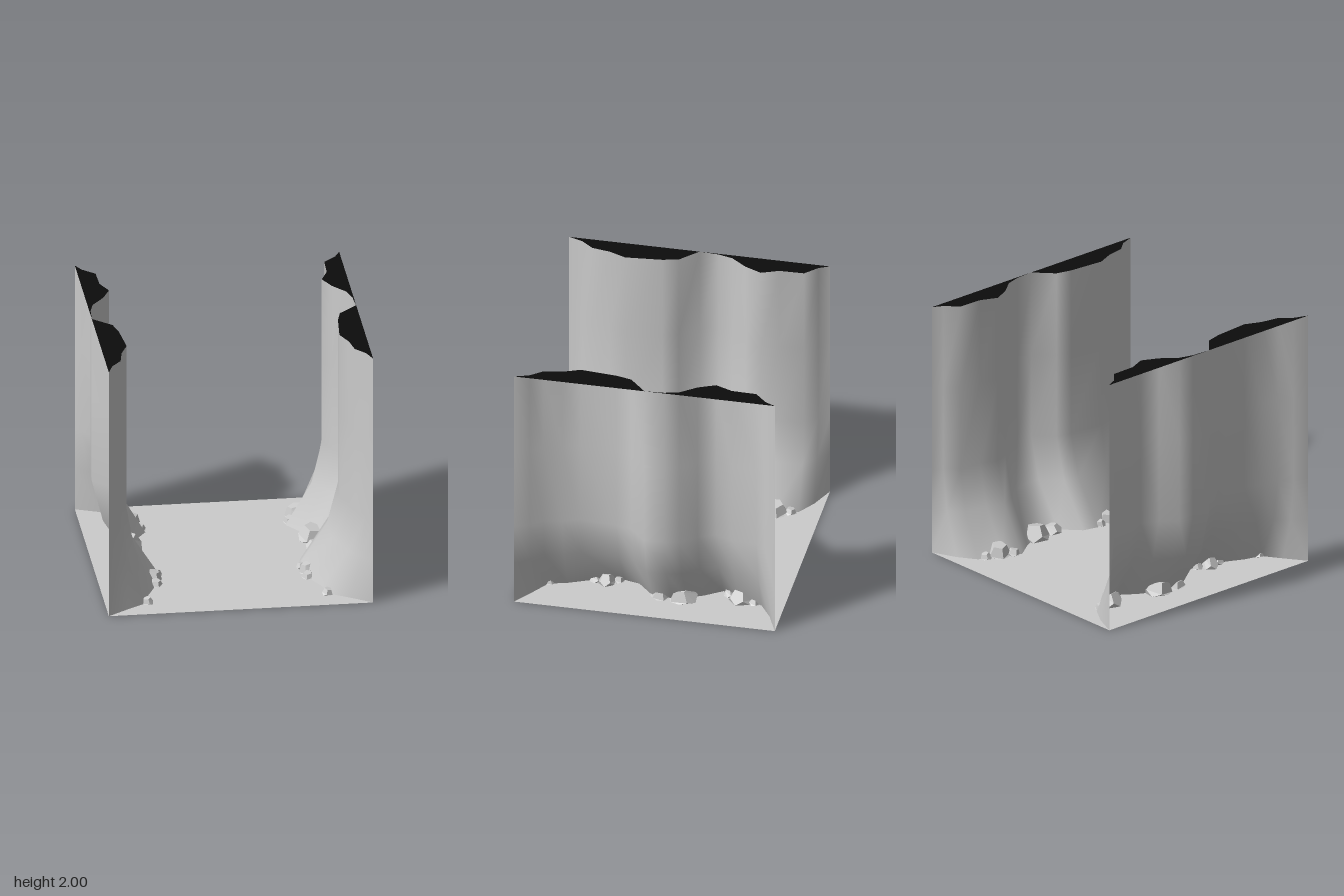
import * as THREE from 'three';

// Cliff outline along z: [z, x at the top, x at the foot]
const OUTLINE = [
  [-1, 1, 1], [-0.92, 0.96, 0.81], [-0.83, 0.865, 0.67], [-0.64, 0.86, 0.6], [-0.51, 0.805, 0.53],
  [-0.38, 0.865, 0.62], [-0.26, 0.96, 0.68], [-0.15, 0.99, 0.71], [0, 1, 0.7], [0.13, 0.86, 0.56],
  [0.25, 0.83, 0.53], [0.53, 0.805, 0.6], [0.66, 0.86, 0.66], [0.8, 0.885, 0.7], [0.89, 0.96, 0.84], [1, 1, 1],
];

// Height levels: [y, how far the cliff has flared towards its foot]
const LEVELS = [[2, 0], [1.33, 0], [0.67, 0], [0.34, 0.28], [0, 1]];

// Rocks along the foot: [x, z, radius x, radius z, height]
const ROCKS = [
  [0.65, -0.77, 0.045, 0.045, 0.05], [0.63, -0.66, 0.085, 0.09, 0.11], [0.57, -0.565, 0.05, 0.05, 0.055],
  [0.69, -0.235, 0.1, 0.11, 0.125], [0.695, -0.06, 0.07, 0.075, 0.07],
  [0.55, 0.29, 0.042, 0.042, 0.05], [0.59, 0.375, 0.07, 0.065, 0.09], [0.575, 0.465, 0.048, 0.055, 0.05],
  [0.68, 0.795, 0.042, 0.042, 0.055],
];

const grey = new THREE.MeshStandardMaterial({ color: 0xcccccc, side: THREE.DoubleSide });
const rockMaterial = new THREE.MeshStandardMaterial({ color: 0xcccccc, flatShading: true });
const black = new THREE.MeshStandardMaterial({ color: 0x0c0c0c, side: THREE.DoubleSide });

function addMesh(parent, name, geometry, material) {
  const mesh = new THREE.Mesh(geometry, material);
  mesh.name = name;
  parent.add(mesh);
  return mesh;
}

// Wavy sheet that flares out at the foot
function cliffGeometry(side) {
  const cols = OUTLINE.length;
  const geometry = new THREE.PlaneGeometry(1, 1, cols - 1, LEVELS.length - 1);
  const pos = geometry.attributes.position;
  LEVELS.forEach(([y, flare], row) => {
    for (let i = 0; i < cols; i++) {
      // Reverse the columns on one side so both cliffs face the passage
      const [z, top, foot] = OUTLINE[side < 0 ? cols - 1 - i : i];
      pos.setXYZ(row * cols + i, side * THREE.MathUtils.lerp(top, foot, flare), y, z);
    }
  });
  geometry.computeVertexNormals();
  return geometry;
}

// Flat dark lid between the cliff's top edge and the outer boundary
function capGeometry(side) {
  const shape = new THREE.Shape(OUTLINE.map(([z, top]) => new THREE.Vector2(side * top, z)));
  return new THREE.ShapeGeometry(shape).rotateX(Math.PI / 2).translate(0, 2, 0);
}

// Faceted lump cut flat at the ground
function rockGeometry(rx, rz, height, turn) {
  const geometry = new THREE.DodecahedronGeometry(1, 0).rotateX(0.36).rotateY(turn);
  const pos = geometry.attributes.position;
  for (let i = 0; i < pos.count; i++) pos.setY(i, Math.max(0, pos.getY(i)));
  geometry.scale(rx * 1.04, height * 1.04, rz * 1.04);
  geometry.computeVertexNormals();
  return geometry;
}

export function createModel() {
  const model = new THREE.Group();
  model.name = 'canyonPassage';

  addMesh(model, 'floor', new THREE.PlaneGeometry(2, 2).rotateX(-Math.PI / 2), grey);

  for (const side of [1, -1]) {
    const wall = new THREE.Group();
    wall.name = side > 0 ? 'leftWall' : 'rightWall';
    model.add(wall);
    addMesh(wall, 'cliffFace', cliffGeometry(side), grey);
    addMesh(wall, 'cliffTop', capGeometry(side), black);
    ROCKS.forEach(([x, z, rx, rz, height], i) => {
      const rock = addMesh(wall, 'rock', rockGeometry(rx, rz, height, side * i * 1.3), rockMaterial);
      rock.position.set(side * x, 0, z);
    });
  }
  return model;
}
